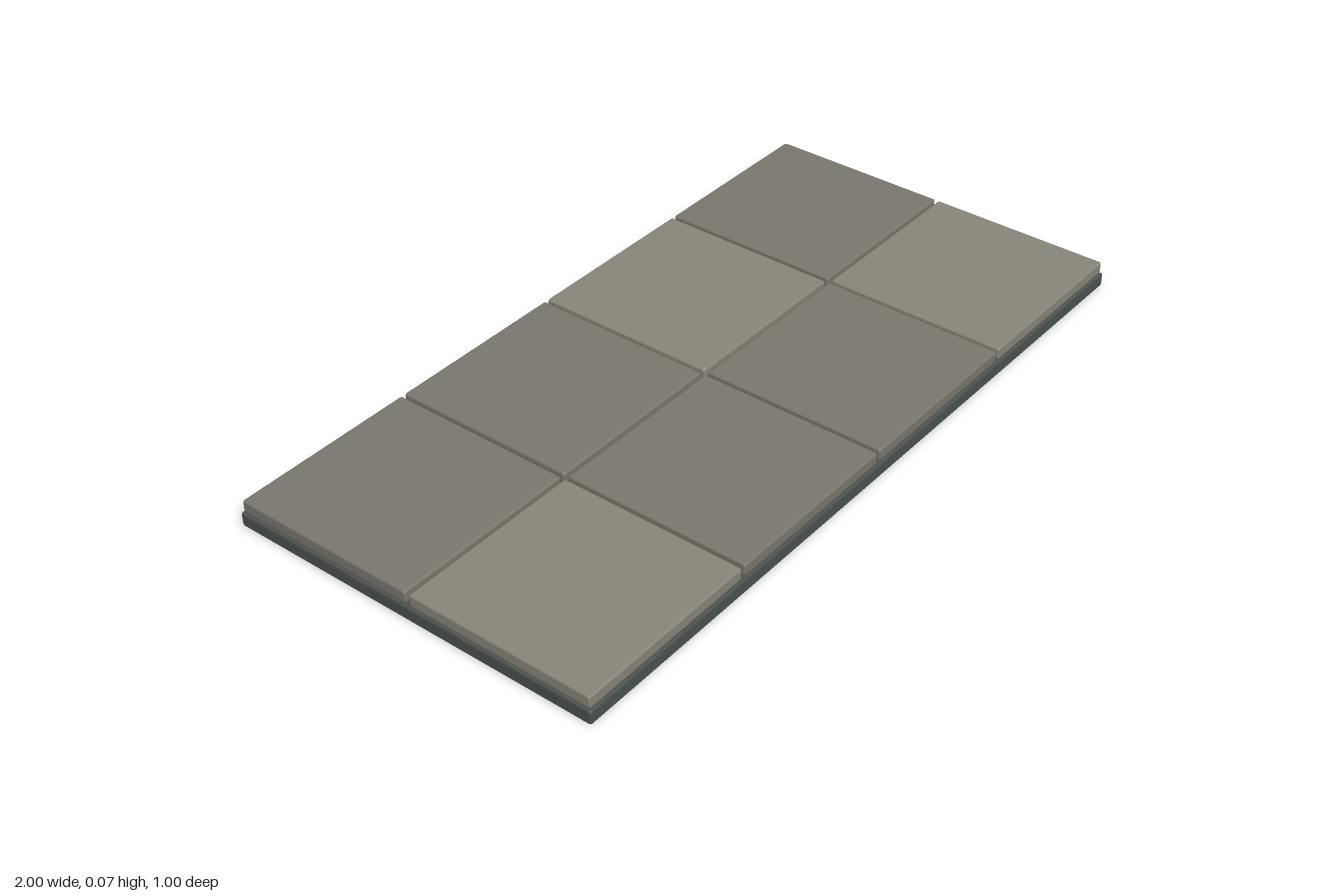
import * as THREE from 'three';
import { RoundedBoxGeometry } from 'three/addons/geometries/RoundedBoxGeometry.js';

const BASE_H = 0.037, TILE_H = 0.033, CELL = 0.5, TILE = 0.49, BEVEL = 0.006;

export function createModel() {
  const model = new THREE.Group();
  model.name = 'pavedSlab';

  const baseMat = new THREE.MeshStandardMaterial({ color: 0x4b524f });
  const lightStone = new THREE.MeshStandardMaterial({ color: 0x89867a });
  const darkStone = new THREE.MeshStandardMaterial({ color: 0x7b776e });

  // Bevelled base slab
  const base = new THREE.Mesh(new RoundedBoxGeometry(2, BASE_H, 1, 1, BEVEL), baseMat);
  base.name = 'baseSlab';
  base.position.y = BASE_H / 2;
  model.add(base);

  // Two rows of four bevelled tiles, back row first (L = light, D = dark)
  const tileGeo = new RoundedBoxGeometry(TILE, TILE_H, TILE, 1, BEVEL);
  ['DDLD', 'LDDL'].forEach((row, r) => {
    [...row].forEach((shade, c) => {
      const tile = new THREE.Mesh(tileGeo, shade === 'L' ? lightStone : darkStone);
      tile.name = `tile_${r + 1}_${c + 1}`;
      tile.position.set((c - 1.5) * CELL, BASE_H + TILE_H / 2, (r - 0.5) * CELL);
      model.add(tile);
    });
  });

  return model;
}
